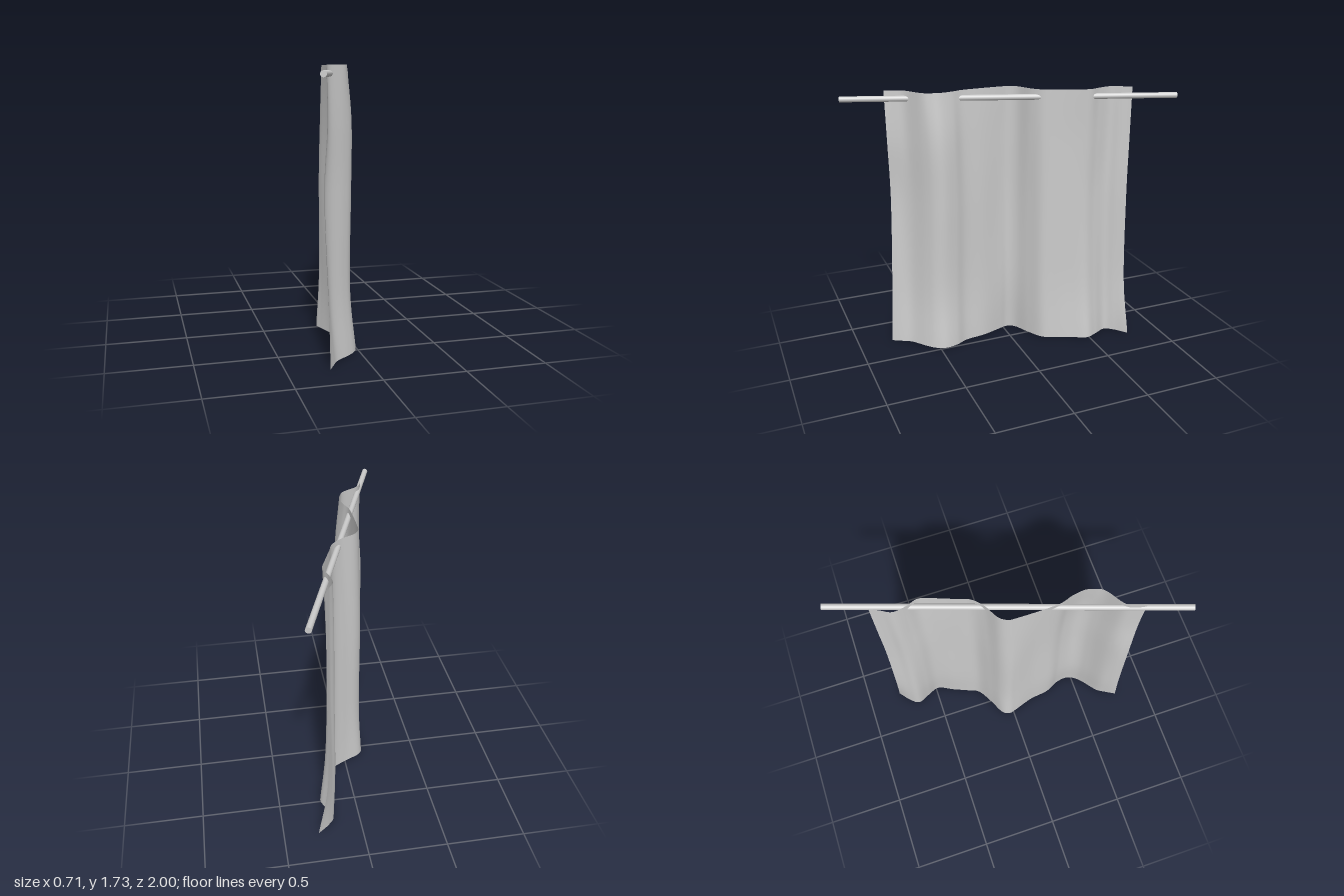
import * as THREE from 'three';

const material = new THREE.MeshStandardMaterial({ color: 0xcccccc });
const clothMaterial = new THREE.MeshStandardMaterial({ color: 0xcccccc, side: THREE.DoubleSide });

// Resting depth of each fold along the curtain, front end to back end
const foldZ = [.74, .68, .62, .55, .5, .44, .36, .28, .15, .03, -.03, -.08, -.13, -.19, -.27, -.36, -.46, -.54, -.62, -.68, -.74];

// Cross-sections from hem to top: height, front and back reach, sideways swing of each fold
const sections = [
  { y: 0, front: .775, back: .775, x: [-.245, -.21, -.17, -.08, -.03, -.005, -.02, -.06, -.08, -.12, -.135, -.105, 0, .1, .14, .18, .228, .2, .165, .205, .28] },
  { y: .4, front: .752, back: .76, x: [-.25, -.235, -.2, -.11, -.06, -.04, -.05, -.08, -.09, -.11, -.115, -.08, 0, .085, .12, .15, .187, .17, .15, .18, .215] },
  { y: 1, front: .725, back: .745, x: [-.265, -.25, -.2, -.1, -.05, -.03, -.045, -.075, -.09, -.115, -.115, -.08, 0, .08, .115, .145, .17, .155, .15, .185, .212] },
  { y: 1.4, front: .732, back: .745, x: [-.247, -.235, -.2, -.1, -.05, -.03, -.045, -.08, -.095, -.11, -.105, -.07, .015, .085, .115, .145, .175, .16, .15, .185, .213] },
  { y: 1.73, front: .735, back: .745, x: [-.255, -.24, -.208, -.105, -.075, -.06, -.07, -.094, -.1, -.1, -.095, -.06, .03, .09, .12, .155, .188, .165, .155, .185, .215] },
];

const spline = (points) => new THREE.CatmullRomCurve3(points, false, 'catmullrom', 0.5);

// Smooth cloth surface: spline along every section, then up every column
function curtainGeometry(across = 160, up = 48) {
  const rows = sections.map(({ y, front, back, x }) =>
    spline(foldZ.map((z, i) => new THREE.Vector3(x[i], y, z * (z > 0 ? front : back) / .74))));
  const geometry = new THREE.PlaneGeometry(1, 1, across, up);
  const position = geometry.attributes.position;
  for (let i = 0; i <= across; i++) {
    const column = spline(rows.map((row) => row.getPoint(i / across)));
    for (let j = 0; j <= up; j++) {
      const p = column.getPoint(1 - j / up);
      position.setXYZ(j * (across + 1) + i, p.x, p.y, p.z);
    }
  }
  geometry.computeVertexNormals();
  return geometry;
}

export function createModel() {
  const model = new THREE.Group();
  model.name = 'curtainOnRod';

  // Hanging cloth
  const curtain = new THREE.Mesh(curtainGeometry(), clothMaterial);
  curtain.name = 'curtain';
  model.add(curtain);

  // Straight rod running diagonally through the folds
  const direction = new THREE.Vector3(.338, 0, -.994);
  const rod = new THREE.Mesh(new THREE.CylinderGeometry(.018, .018, 2 * direction.length(), 24), material);
  rod.name = 'curtainRod';
  rod.quaternion.setFromUnitVectors(new THREE.Vector3(0, 1, 0), direction.clone().normalize());
  rod.position.y = 1.68;
  model.add(rod);

  return model;
}
